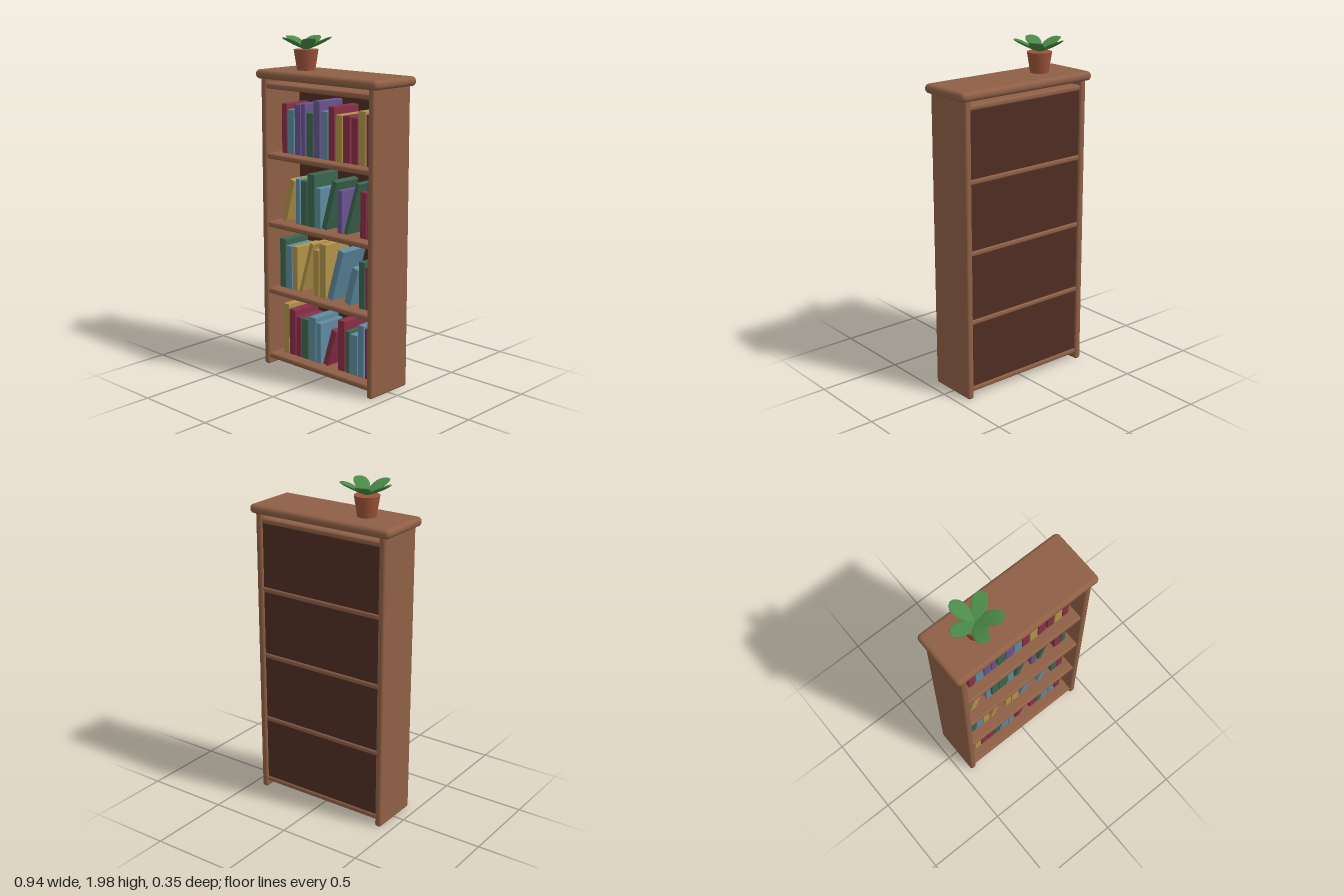
import * as THREE from 'three';
import { RoundedBoxGeometry } from 'three/addons/geometries/RoundedBoxGeometry.js';

const mat = (name, color) => {
  const m = new THREE.MeshStandardMaterial({ color });
  m.name = name;
  return m;
};
const wood = mat('wood', 0x8f6046);
const darkWood = mat('dark wood', 0x4f2d24);
const terracotta = mat('terracotta', 0x9c5438);
const leafGreen = mat('leaf green', 0x4a8a48);
const covers = {
  m: mat('maroon cover', 0x8a3048),
  b: mat('blue cover', 0x5f8ba0),
  p: mat('purple cover', 0x6a5490),
  g: mat('green cover', 0x3c6650),
  y: mat('yellow cover', 0xb2934a),
};

// Shelf rows, bottom to top. Each book: cover, left x, right x, height, lean (top shift in x)
const rows = [
  [['y', -.34, -.295, .312], ['m', -.293, -.241, .286], ['m', -.235, -.193, .249], ['g', -.188, -.135, .249],
    ['b', -.124, -.071, .275], ['b', -.066, -.029, .249], ['m', -.013, .026, .238, .072], ['m', .108, .161, .307],
    ['g', .167, .198, .254], ['b', .204, .262, .243], ['b', .267, .31, .312], ['m', .32, .362, .302]],
  [['g', -.368, -.32, .302], ['b', -.315, -.267, .265], ['y', -.262, -.22, .27], ['y', -.209, -.183, .317, .096],
    ['y', -.087, -.045, .28], ['y', -.04, .013, .323], ['b', .019, .063, .317, .095], ['b', .156, .204, .233, .064],
    ['g', .272, .315, .275], ['m', .32, .362, .249]],
  [['y', -.352, -.31, .265, .074], ['b', -.23, -.198, .27], ['g', -.188, -.14, .265], ['g', -.135, -.077, .312],
    ['b', -.071, -.029, .238], ['g', -.024, .014, .302, .09], ['p', .103, .14, .249], ['g', .151, .177, .312, .096],
    ['m', .278, .325, .265], ['g', .33, .362, .328]],
  [['m', -.341, -.299, .291], ['b', -.294, -.241, .26], ['p', -.235, -.188, .296], ['p', -.183, -.151, .302],
    ['g', -.14, -.087, .254], ['p', -.082, -.034, .328], ['b', -.024, .029, .275], ['m', .034, .082, .307],
    ['y', .087, .14, .265], ['m', .146, .198, .265], ['m', .209, .257, .26], ['y', .262, .315, .302],
    ['m', .32, .362, .286]],
];

function box(name, material, w, h, d, r, x, y, z) {
  const mesh = new THREE.Mesh(new RoundedBoxGeometry(w, h, d, 3, r), material);
  mesh.name = name;
  mesh.position.set(x, y, z);
  return mesh;
}

// A book pivoting on its lower right edge, so that it can lean to the right
function makeBook(cover, left, right, height, lean, y, depth) {
  const a = Math.atan2(lean, height);
  const w = (right - left) * Math.cos(a);
  const h = Math.hypot(lean, height) - w * Math.tan(a);
  const pivot = new THREE.Group();
  pivot.name = 'book';
  pivot.add(box('bookCover', covers[cover], w, h, depth, 0.004, -w / 2, h / 2, 0.08 - depth / 2));
  pivot.position.set(right, y, 0);
  pivot.rotation.z = -a;
  return pivot;
}

// A cupped leaf running from the origin along +x, narrow at the base
function leafGeometry() {
  const len = 0.165;
  const g = new THREE.SphereGeometry(1, 10, 8);
  g.rotateZ(-Math.PI / 2);
  const p = g.attributes.position;
  for (let i = 0; i < p.count; i++) {
    const t = (p.getX(i) + 1) / 2;
    const z = p.getZ(i) * 0.048 * (0.65 + 0.5 * t);
    p.setXYZ(i, t * len, p.getY(i) * 0.009 + z * z * 4, z);
  }
  g.computeVertexNormals();
  return g;
}

export function createModel() {
  const model = new THREE.Group();
  model.name = 'bookcase';

  // Case
  model.add(box('topBoard', wood, 0.936, 0.054, 0.35, 0.025, 0, 1.773, 0));
  for (const s of [1, -1]) {
    model.add(box(s > 0 ? 'leftSide' : 'rightSide', wood, 0.04, 1.755, 0.31, 0.014, s * 0.417, 0.8825, 0));
  }
  for (let i = 0; i < 5; i++) {
    model.add(box('shelf', wood, 0.81, 0.034, 0.294, 0.013, 0, 0.061 + i * 0.4115, 0));
  }
  const back = new THREE.Mesh(new THREE.BoxGeometry(0.81, 1.646, 0.016), darkWood);
  back.name = 'backPanel';
  back.position.set(0, 0.884, -0.132);
  model.add(back);

  // Books
  rows.forEach((row, i) => {
    const shelf = new THREE.Group();
    shelf.name = 'bookRow';
    row.forEach(([cover, left, right, height, lean = 0], j) => {
      const depth = 0.185 + 0.008 * ((j * 2 + i) % 3);
      shelf.add(makeBook(cover, left, right, height, lean, 0.079 + i * 0.4115, depth));
    });
    model.add(shelf);
  });

  // Potted plant
  const plant = new THREE.Group();
  plant.name = 'pottedPlant';
  plant.position.set(-0.217, 1.8, 0);
  const pot = new THREE.Mesh(new THREE.CylinderGeometry(0.072, 0.053, 0.118, 20), terracotta);
  pot.name = 'pot';
  pot.position.y = 0.059;
  plant.add(pot);
  const leafGeo = leafGeometry();
  for (let i = 0; i < 5; i++) {
    const leaf = new THREE.Mesh(leafGeo, leafGreen);
    leaf.name = 'leaf';
    leaf.position.y = 0.119;
    leaf.rotation.set(0, Math.PI + (i * Math.PI * 2) / 5, 0.44);
    plant.add(leaf);
  }
  model.add(plant);

  return model;
}
